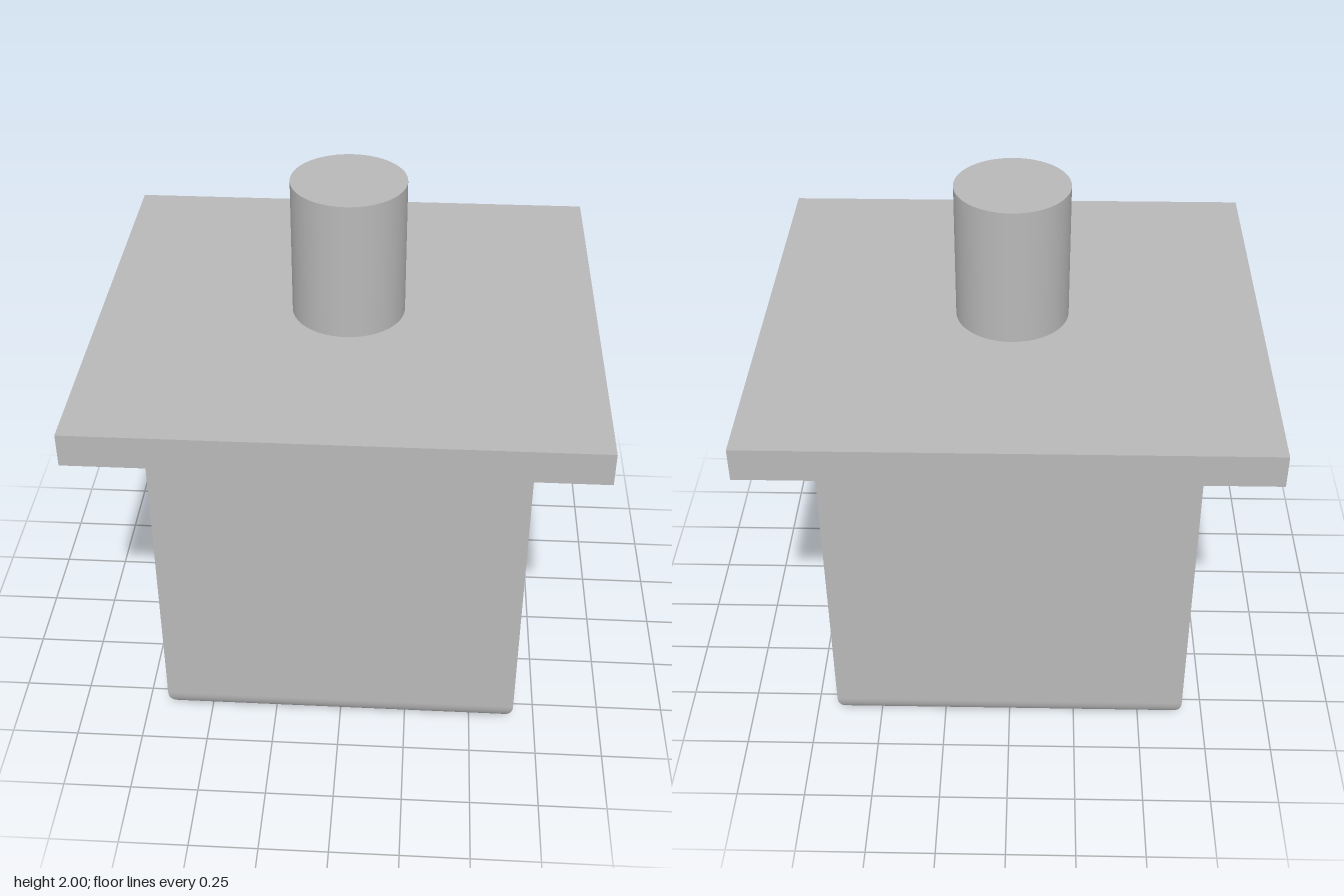
import * as THREE from 'three';

const BODY = { x: 0.665, z: 0.613, top: 1.37, fillet: 0.1 };
const PLATE_TOP = 1.49;

// One wall facing +z: flat above, curving under to meet the base, with mitred ends
function wallGeometry(halfWidth, halfDepth) {
  const { top, fillet } = BODY, steps = 12;
  const position = [], normal = [], index = [];
  const addRow = (y, inset, ny, nz) => {
    for (const side of [-1, 1]) {
      position.push(side * (halfWidth - inset), y, halfDepth - inset);
      normal.push(0, ny, nz);
    }
  };
  for (let i = 0; i <= steps; i++) {
    const a = (i / steps) * Math.PI / 2;
    addRow(fillet * (1 - Math.cos(a)), fillet * (1 - Math.sin(a)), -Math.cos(a), Math.sin(a));
  }
  addRow(top, 0, 0, 1);
  for (let i = 0; i <= steps; i++) {
    const k = i * 2;
    index.push(k, k + 1, k + 3, k, k + 3, k + 2);
  }
  const geometry = new THREE.BufferGeometry();
  geometry.setAttribute('position', new THREE.Float32BufferAttribute(position, 3));
  geometry.setAttribute('normal', new THREE.Float32BufferAttribute(normal, 3));
  geometry.setIndex(index);
  return geometry;
}

export function createModel() {
  const model = new THREE.Group();
  model.name = 'flangedPlug';
  const grey = new THREE.MeshStandardMaterial({ color: 0xb8b8b8 });
  grey.name = 'grey';

  const add = (parent, name, geometry, y = 0) => {
    const mesh = new THREE.Mesh(geometry, grey);
    mesh.name = name;
    mesh.position.y = y;
    parent.add(mesh);
    return mesh;
  };

  // Block with rounded lower edges and sharp upright edges
  const body = new THREE.Group();
  body.name = 'body';
  model.add(body);
  ['frontWall', 'leftWall', 'backWall', 'rightWall'].forEach((name, i) => {
    const [w, d] = i % 2 ? [BODY.z, BODY.x] : [BODY.x, BODY.z];
    add(body, name, wallGeometry(w, d)).rotation.y = i * Math.PI / 2;
  });
  const base = new THREE.PlaneGeometry(2 * (BODY.x - BODY.fillet), 2 * (BODY.z - BODY.fillet));
  add(body, 'base', base.rotateX(Math.PI / 2));

  // Overhanging plate
  const thickness = PLATE_TOP - BODY.top;
  add(model, 'plate', new THREE.BoxGeometry(1.79, thickness, 1.69), BODY.top + thickness / 2);

  // Round post
  const height = 2 - PLATE_TOP;
  add(model, 'post', new THREE.CylinderGeometry(0.204, 0.204, height, 64), PLATE_TOP + height / 2);

  return model;
}
